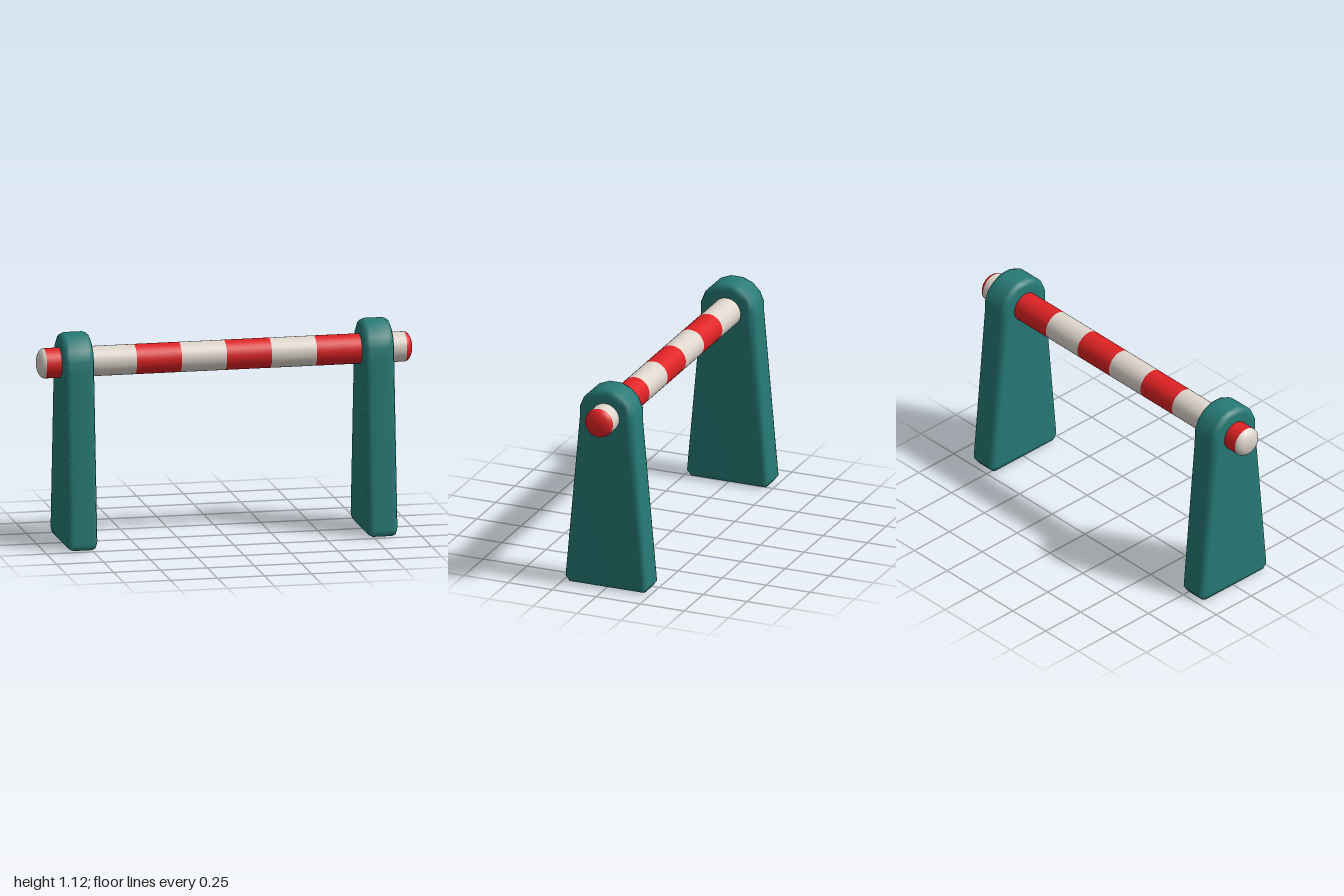
import * as THREE from 'three';
import { mergeVertices } from 'three/addons/utils/BufferGeometryUtils.js';

const AXIS_Y = 0.962, POLE_R = 0.079, STRIPE = 0.24, POLE_HALF = 0.96;

// Tapered, round-topped slab with softened edges, thickness along x
function uprightGeometry() {
  const pts = [[-0.21, 0], [0.21, 0], [0.237, 0.035]];
  for (let i = 0; i < 10; i++) {
    const a = THREE.MathUtils.degToRad(-11.25 + 22.5 * i);
    pts.push([0.16 * Math.cos(a), 0.96 + 0.16 * Math.sin(a)]);
  }
  pts.push([-0.237, 0.035]);
  const shape = new THREE.Shape(pts.map(([x, y]) => new THREE.Vector2(x, y)));
  const bevel = 0.03;
  let geo = new THREE.ExtrudeGeometry(shape, {
    depth: 0.1, bevelEnabled: true, bevelThickness: bevel,
    bevelSize: bevel, bevelOffset: -bevel, bevelSegments: 2,
  });
  geo.translate(0, 0, -0.05);
  geo.rotateY(Math.PI / 2);
  // Weld the corners so the whole slab shades smoothly
  geo.deleteAttribute('uv');
  geo.deleteAttribute('normal');
  geo = mergeVertices(geo, 1e-4);
  geo.computeVertexNormals();
  return geo;
}

export function createModel() {
  const teal = new THREE.MeshStandardMaterial({ name: 'teal', color: 0x267a75 });
  const red = new THREE.MeshStandardMaterial({ name: 'red', color: 0xdf2224 });
  const cream = new THREE.MeshStandardMaterial({ name: 'cream', color: 0xded5cc });

  const model = new THREE.Group();
  model.name = 'hurdle';

  // Two uprights
  const slab = uprightGeometry();
  for (const [side, name] of [[1, 'leftUpright'], [-1, 'rightUpright']]) {
    const upright = new THREE.Mesh(slab, teal);
    upright.name = name;
    upright.position.x = 0.8 * side;
    model.add(upright);
  }

  // Striped pole, running from the right end to the left end
  const pole = new THREE.Group();
  pole.name = 'pole';
  pole.position.y = AXIS_Y;
  model.add(pole);

  const band = new THREE.CylinderGeometry(POLE_R, POLE_R, STRIPE, 32, 1, true);
  band.rotateZ(-Math.PI / 2);
  for (let i = 0; i < 8; i++) {
    const stripe = new THREE.Mesh(band, i % 2 ? cream : red);
    stripe.name = 'stripe' + (i + 1);
    stripe.position.x = -POLE_HALF + STRIPE * (i + 0.5);
    pole.add(stripe);
  }

  // Shallow domed ends
  const profile = [];
  for (let i = 0; i <= 6; i++) {
    const a = (i / 6) * Math.PI / 2;
    profile.push(new THREE.Vector2(i === 6 ? 0 : POLE_R * Math.cos(a), 0.04 * Math.sin(a)));
  }
  const dome = new THREE.LatheGeometry(profile, 32);
  for (const [side, name, material] of [[1, 'leftCap', red], [-1, 'rightCap', cream]]) {
    const cap = new THREE.Mesh(dome, material);
    cap.name = name;
    cap.rotation.z = -side * Math.PI / 2;
    cap.position.x = side * POLE_HALF;
    pole.add(cap);
  }
  return model;
}
